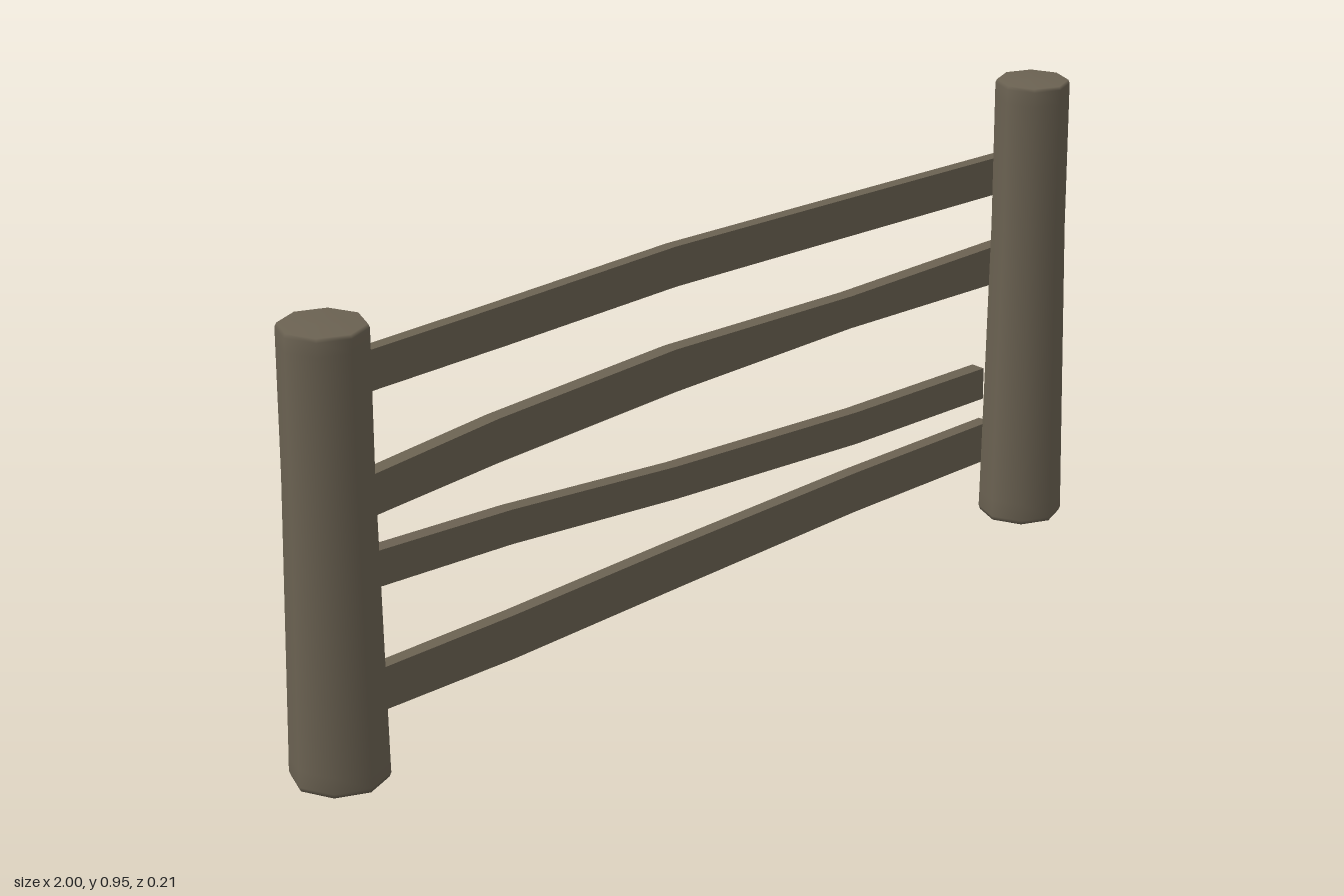
import * as THREE from 'three';

const wood = new THREE.MeshStandardMaterial({ color: 0x6b6252 });
wood.name = 'weathered wood';

// Eight-sided, tapered and slightly leaning post; foot and head are [x, z, radius]
function makePost(name, foot, head, height) {
  const r = (t) => THREE.MathUtils.lerp(foot[2], head[2], Math.min(1, t * 1.5));
  const profile = [[0, 0.002], [r(0) * 0.96, 0.003], [r(0), 0.012]];
  for (const t of [0.05, 0.33, 0.67, 0.96]) profile.push([r(t), t * height]);
  profile.push([head[2], height - 0.008], [head[2] * 0.96, height - 0.001], [0, height]);
  const geometry = new THREE.LatheGeometry(profile.map(([x, y]) => new THREE.Vector2(x, y)), 8);
  // Lean the post from its foot to its head
  const p = geometry.attributes.position;
  for (let i = 0; i < p.count; i++) {
    const t = p.getY(i) / height;
    p.setX(i, p.getX(i) + THREE.MathUtils.lerp(foot[0], head[0], t));
    p.setZ(i, p.getZ(i) + THREE.MathUtils.lerp(foot[1], head[1], t));
  }
  const mesh = new THREE.Mesh(geometry, wood);
  mesh.name = name;
  return mesh;
}

// Bent plank; each station is [x, bottom, top]
function makeRail(name, stations, zBack, zFront) {
  const lower = stations.map(([x, b]) => new THREE.Vector2(x, b));
  const upper = stations.map(([x, , t]) => new THREE.Vector2(x, t)).reverse();
  const geometry = new THREE.ExtrudeGeometry(new THREE.Shape([...lower, ...upper]), {
    depth: zFront - zBack, bevelEnabled: false,
  });
  geometry.translate(0, 0, zBack);
  const mesh = new THREE.Mesh(geometry, wood);
  mesh.name = name;
  return mesh;
}

export function createModel() {
  const fence = new THREE.Group();
  fence.name = 'fence';

  fence.add(
    makePost('rightPost', [-0.907, 0.012, 0.093], [-0.902, 0.003, 0.083], 0.872),
    makePost('leftPost', [0.914, 0.012, 0.086], [0.904, 0.019, 0.075], 0.952),
  );

  // Rails fixed to the back of the posts
  fence.add(
    makeRail('topRail', [[-0.89, 0.68, 0.758], [-0.42, 0.69, 0.77], [0, 0.702, 0.783],
      [0.45, 0.695, 0.775], [0.93, 0.687, 0.766]], -0.095, -0.068),
    makeRail('upperMiddleRail', [[-0.89, 0.43, 0.508], [-0.45, 0.463, 0.55], [0, 0.486, 0.573],
      [0.48, 0.497, 0.565], [0.93, 0.49, 0.573]], -0.103, -0.07),
    makeRail('lowerMiddleRail', [[-0.89, 0.303, 0.376], [-0.42, 0.29, 0.36], [0, 0.262, 0.33],
      [0.5, 0.241, 0.31], [0.88, 0.24, 0.308]], -0.102, -0.07),
    makeRail('bottomRail', [[-0.91, 0.046, 0.13], [-0.42, 0.052, 0.142], [0, 0.07, 0.16],
      [0.5, 0.09, 0.176], [0.905, 0.096, 0.181]], -0.102, -0.072),
  );
  return fence;
}
